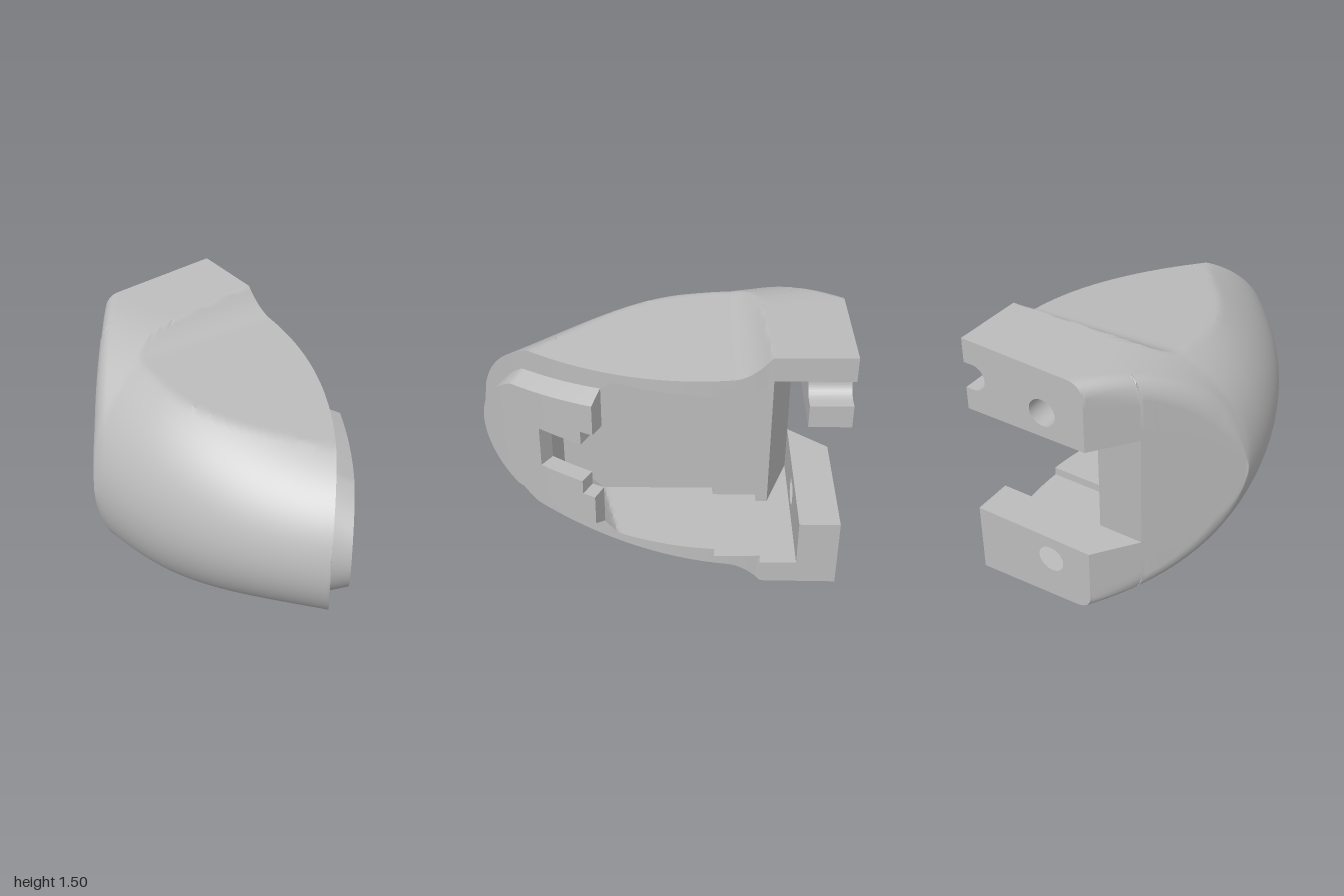
import * as THREE from 'three';
import { mergeGeometries, toCreasedNormals } from 'three/addons/utils/BufferGeometryUtils.js';

const MID = 0.75; // height of the mirror plane
const { clamp, lerp, smoothstep } = THREE.MathUtils;

// Plan coordinates: u runs along the back face, v runs forward from it
const W = (u, v) => [0.01 + 0.972 * u - 0.236 * v, -1 + 0.236 * u + 0.972 * v];
const mix = (a, b, t) => [lerp(a[0], b[0], t), lerp(a[1], b[1], t)];

// Plan curves: rounded outer side and convex front face
const CORNER_Z = -0.454;
const outerX = z => -0.713 + 0.24 * (Math.max(z, CORNER_Z) + 0.12) ** 2;
const frontX = z => 0.49 - 0.438 * z - 0.426 * z * z - 0.103 * z ** 3;
const corner = [outerX(CORNER_Z), CORNER_Z];

// Half height of the outer skin above the mirror plane
function skin(x, z) {
  let w = Math.max(0, x - outerX(z));
  // Rounded edge along the slanted back face
  const dx = corner[0] - 0.01, dz = corner[1] + 1, r = 0.07;
  const d = Math.max(0, ((x - 0.01) * dz - (z + 1) * dx) / Math.hypot(dx, dz));
  const inset = d < r ? r - Math.sqrt(r * r - (r - d) ** 2) : 0;
  w -= inset * Math.min(1, w / 0.14);
  const round = Math.sqrt(1 - (1 - Math.min(1, w / 0.75)) ** 2);
  const full = (0.72 - inset - 0.15 * smoothstep(z, -0.2, 0.85)) * round + 0.03 * clamp(x / 0.7, 0, 1);
  // Flat sloping face that sweeps up into the thicker back
  const rise = Math.max(0, (-0.22 - z + 0.243 * (x - 0.6)) / 0.2);
  const flat = 0.52 + (0.75 - z) * 0.1 + 0.11 * rise * rise;
  return Math.min(full, flat);
}

// Rectangular patch of a surface f(a, b)
function patch(f, na, nb) {
  const pos = [], index = [];
  for (let i = 0; i <= na; i++)
    for (let j = 0; j <= nb; j++) pos.push(...f(i / na, j / nb));
  for (let i = 0; i < na; i++)
    for (let j = 0; j < nb; j++) {
      const a = i * (nb + 1) + j, b = a + nb + 1;
      index.push(a, b, a + 1, b, b + 1, a + 1);
    }
  const g = new THREE.BufferGeometry();
  g.setAttribute('position', new THREE.Float32BufferAttribute(pos, 3));
  g.setIndex(index);
  return g;
}

// Closed slab over a plan region p(s, t), between two height functions
function slab(p, top, bot, ns, nt) {
  const o = p(0.5, 0.5), a = p(0.51, 0.5), b = p(0.5, 0.51);
  const turn = (a[1] - o[1]) * (b[0] - o[0]) - (a[0] - o[0]) * (b[1] - o[1]);
  const q = turn > 0 ? p : (s, t) => p(1 - s, t);
  const at = (s, t, k) => {
    const [x, z] = q(s, t);
    return [x, MID + lerp(bot(x, z, s, t), top(x, z, s, t), k), z];
  };
  const nk = 6;
  return mergeGeometries([
    patch((s, t) => at(s, t, 1), ns, nt),
    patch((t, s) => at(s, t, 0), nt, ns),
    patch((s, k) => at(s, 0, k), ns, nk),
    patch((k, s) => at(s, 1, k), nk, ns),
    patch((t, k) => at(1, t, k), nt, nk),
    patch((k, t) => at(0, t, k), nk, nt),
  ]);
}

// The same slab above and below the mirror plane
const neg = f => (...k) => -f(...k);
const pair = (p, top, bot, ns, nt) => [slab(p, top, bot, ns, nt), slab(p, neg(bot), neg(top), ns, nt)];

// Limits of the cavity across the plan at distance v
function frontZ(v) {
  let lo = -1, hi = 1.2;
  for (let i = 0; i < 40; i++) {
    const z = (lo + hi) / 2;
    if (-0.236 * (frontX(z) - 0.01) + 0.972 * (z + 1) < v) lo = z; else hi = z;
  }
  return lo;
}
function uRight(v) {
  if (v <= 0.433) return 0.72;
  const z = frontZ(v);
  return 0.972 * (frontX(z) - 0.01) + 0.236 * (z + 1);
}
const V_ARM = 0.227, V_PLATE = 0.36, V_BEND = 1.56, V_END = 1.606, U_PLATE = 0.175, U_EDGE = -0.179;
const U_END = uRight(V_END), Z_END = frontZ(V_END);
function uLeft(v) {
  if (v < V_PLATE) return lerp(U_EDGE, U_PLATE, (v - V_ARM) / (V_PLATE - V_ARM));
  if (v < V_BEND) return U_PLATE;
  return lerp(U_PLATE, U_END, (v - V_BEND) / (V_END - V_BEND));
}

export function createModel() {
  const group = new THREE.Group();
  const grey = new THREE.MeshStandardMaterial({ color: 0xbcbcbc });
  grey.name = 'plain grey';
  const add = (name, geos) => {
    const m = new THREE.Mesh(toCreasedNormals(mergeGeometries(geos), 0.55), grey);
    m.name = name;
    group.add(m);
  };

  // Solid outer wall, from the rounded side to the cavity floor
  const ruled = (outer, inner) => (s, t) => mix(outer(s), inner(s), t * t);
  const side = (z0, z1) => s => { const z = lerp(z0, z1, s); return [outerX(z), z]; };
  const line = (a, b) => s => mix(a, b, s);
  const end = W(U_END, V_END), bend = W(U_PLATE, V_BEND), plate = W(U_PLATE, V_PLATE), edge = W(U_EDGE, V_ARM);
  const front = s => { const z = lerp(0.97, Z_END, s); return [frontX(z), z]; };
  const shell = [
    [ruled(side(0.97, Z_END), front), 24],
    [ruled(side(Z_END, 0.56), line(end, bend)), 8],
    [ruled(side(0.56, CORNER_Z), line(bend, plate)), 60],
    [ruled(line(corner, edge), line(plate, edge)), 30],
  ].map(([plan, n]) => slab(plan, skin, neg(skin), n, 36));

  // Roof and floor of the cavity, stepped outward toward the back
  const steps = [
    [V_ARM, V_PLATE, 0.61, 10], [V_PLATE, 0.433, 0.61, 6], [0.433, 0.69, 0.56, 20],
    [0.69, V_BEND, 0.51, 36], [V_BEND, V_END, 0.51, 4],
  ];
  for (const [v0, v1, h, n] of steps) {
    const plan = (s, t) => {
      const v = lerp(v0, v1, s);
      return W(lerp(uLeft(v), uRight(v), t), v);
    };
    shell.push(...pair(plan, skin, (x, z) => h - clamp(z - 0.34, 0, 0.14), n, 40));
  }

  // Corner webs that join the arms to the outer wall, and the skin over the arms
  shell.push(...pair((s, t) => W(U_EDGE * s * (1 - t), V_ARM * s), skin, () => 0.33, 16, 12));
  shell.push(...pair((s, t) => W(0.72 * t * t, V_ARM * s), skin, () => 0.61, 16, 24));
  add('shell', shell);

  // Two back arms with a bolt hole; the upper one has a round groove at its end
  const basis = new THREE.Matrix4().makeBasis(
    new THREE.Vector3(0.972, 0, 0.236), new THREE.Vector3(0, 1, 0), new THREE.Vector3(-0.236, 0, 0.972));
  basis.setPosition(0.01, MID, -1);
  for (const k of [1, -1]) {
    const shape = new THREE.Shape();
    shape.moveTo(0, 0.33 * k);
    shape.lineTo(0.72, 0.33 * k);
    if (k > 0) {
      shape.lineTo(0.72, 0.46);
      shape.lineTo(0.67, 0.46);
      shape.absarc(0.67, 0.535, 0.075, -Math.PI / 2, Math.PI / 2, true);
    } else {
      shape.lineTo(0.72, -0.61);
    }
    shape.lineTo(0, 0.61 * k);
    shape.closePath();
    shape.holes.push(new THREE.Path().absarc(0.247, 0.475 * k, 0.078, 0, Math.PI * 2, true));
    const g = new THREE.ExtrudeGeometry(shape, { depth: V_ARM, bevelEnabled: false, curveSegments: 20 });
    add(k > 0 ? 'upperArm' : 'lowerArm', [g.applyMatrix4(basis)]);
  }

  // Raised front lip with chamfered rim and a stepped slot in its free end
  const TIP = 0.91;
  const along = (z0, z1, s) => lerp(z1, z0, (1 - s) ** 2);
  const lipPart = (z0, z1) => {
    const plan = (s, t) => {
      const z = along(z0, z1, s), slope = 0.438 + 0.852 * z + 0.309 * z * z;
      const n = 0.1 * t / Math.hypot(1, slope);
      return [frontX(z) + n, z + n * slope];
    };
    const rim = (x, y, s, t) => {
      const z = along(z0, z1, s), d = frontX(z) - frontX(TIP);
      const arc = Math.sqrt(Math.max(0, 0.96 * d - d * d));
      return Math.min(arc, 0.39 + 0.06 * (0.76 - z) / 0.36) * (1 - 0.12 * t);
    };
    return [plan, rim];
  };
  const [tipPlan, tipRim] = lipPart(0.645, TIP);
  const lip = [slab(tipPlan, tipRim, neg(tipRim), 40, 4)];
  for (const [z0, z1, slot] of [[0.455, 0.645, 0.125], [0.4, 0.455, 0.21]])
    lip.push(...pair(...lipPart(z0, z1), () => slot, 12, 4));
  add('frontLip', lip);

  return group;
}
